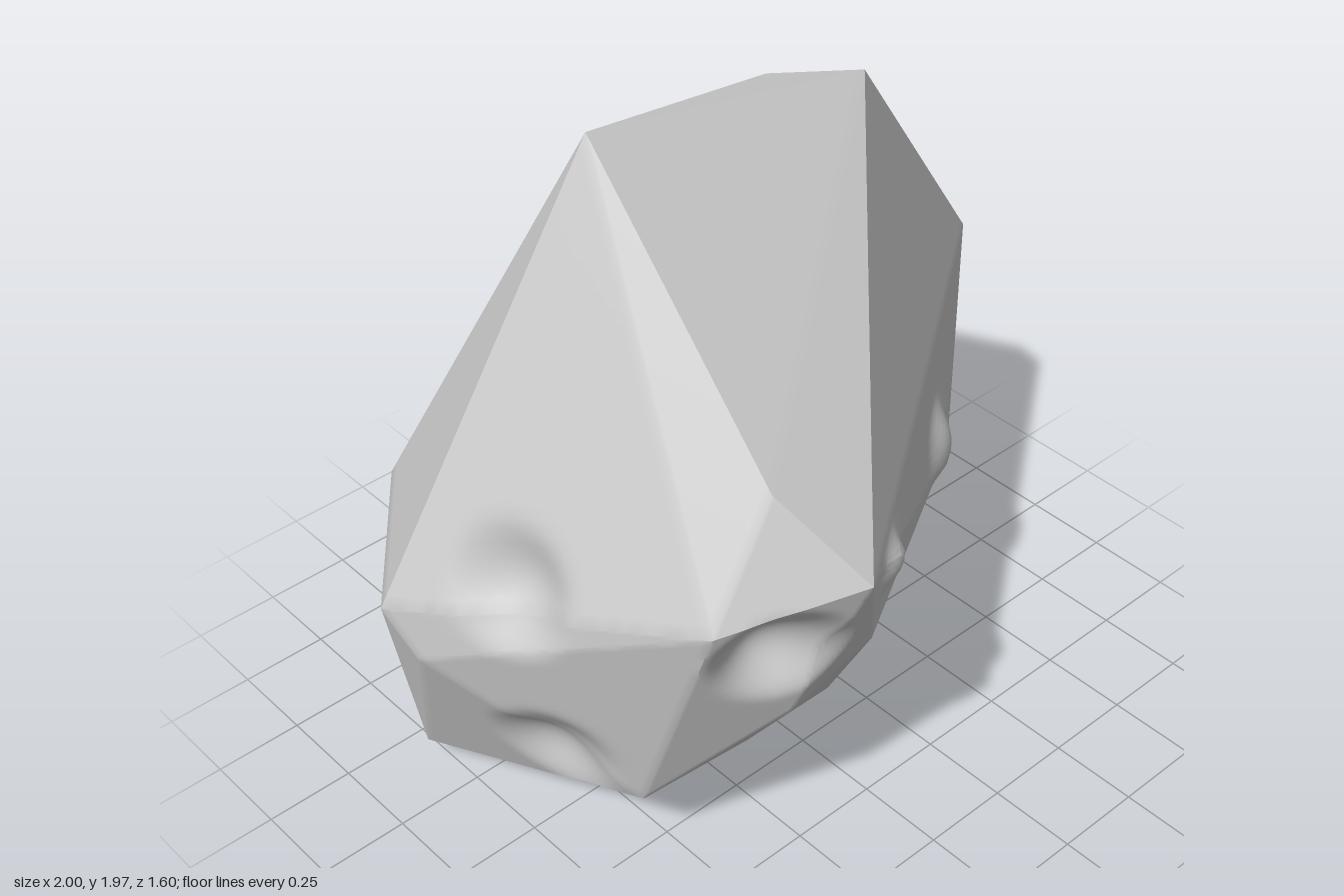
import * as THREE from 'three';
import { ConvexGeometry } from 'three/addons/geometries/ConvexGeometry.js';
import { toCreasedNormals } from 'three/addons/utils/BufferGeometryUtils.js';

const material = new THREE.MeshStandardMaterial({ color: 0xcccccc });

// Splits every triangle into four, giving the dents vertices to move
function subdivide(triangles) {
  return triangles.flatMap(([a, b, c]) => {
    const ab = a.clone().lerp(b, 0.5);
    const bc = b.clone().lerp(c, 0.5);
    const ca = c.clone().lerp(a, 0.5);
    return [[a, ab, ca], [ab, b, bc], [ca, bc, c], [ab, bc, ca]];
  });
}

// Chiselled stone: hull of its corners, with local dents and bumps
function stone(name, corners, dents, crease) {
  const hull = new ConvexGeometry(corners.map((p) => new THREE.Vector3(...p))).attributes.position;
  const corner = (i) => new THREE.Vector3().fromBufferAttribute(hull, i);
  let triangles = [];
  for (let i = 0; i < hull.count; i += 3) triangles.push([corner(i), corner(i + 1), corner(i + 2)]);
  for (let level = 0; level < 5; level++) triangles = subdivide(triangles);

  const spots = dents.map(([center, push, radius]) => ({
    center: new THREE.Vector3(...center), push: new THREE.Vector3(...push), radius,
  }));
  const points = triangles.flat().map((p) => {
    const moved = p.clone();
    for (const { center, push, radius } of spots) {
      const t = p.distanceTo(center) / radius;
      if (t < 1) moved.addScaledVector(push, (1 - t * t) ** 2);
    }
    return moved;
  });
  const geometry = new THREE.BufferGeometry().setFromPoints(points);
  const mesh = new THREE.Mesh(toCreasedNormals(geometry, crease), material);
  mesh.name = name;
  return mesh;
}

export function createModel() {
  const group = new THREE.Group();
  group.name = 'rock';

  // Crest, front corner, sides and back
  const upper = [
    [-0.42, 1.97, -0.06], [0.43, 1.83, -0.02], [0.2, 1.86, -0.13],
    [1, 1.07, -0.16], [0.78, 1.17, -0.56], [0.68, 1.33, -0.46],
    [-0.33, 1.12, 0.8], [-0.66, 1.04, 0.62], [-0.46, 1.34, 0.6],
    [-1, 0.79, -0.22], [-0.69, 0.83, -0.6], [0.24, 0.65, -0.8], [0.22, 0.57, -0.77],
  ];
  // Front bulge and underside
  const lower = [
    [-0.19, 0.79, 0.67], [0.45, 0.78, 0.3], [0.57, 0.74, 0.21],
    [-0.4, 0.64, 0.61], [-0.64, 0.29, 0.33], [-0.32, 0.31, 0.37],
    [0.04, 0.21, 0.3], [0.3, 0.09, -0.08], [0.68, 0.4, -0.2], [0.84, 0.74, -0.16],
    [0.47, 0.11, -0.29], [0.2, 0.02, -0.06], [-0.22, 0, -0.22],
    [-0.81, 0.09, -0.38], [-0.97, 0.67, -0.12],
  ];
  // Hollows and raised chips: centre, push, radius
  const dents = [
    [[-0.48, 0.9, 0.66], [0.02, 0, -0.1], 0.2],
    [[-0.84, 0.95, 0.1], [0.07, -0.02, -0.01], 0.2],
    [[-0.74, 0.4, 0.12], [0.06, 0, -0.04], 0.2],
    [[0.78, 1.34, -0.3], [-0.05, -0.02, 0.03], 0.16],
    [[-0.14, 1.01, 0.7], [0.02, 0.01, 0.03], 0.1],
    [[0.44, 0.86, 0.32], [0.02, 0.01, 0.03], 0.13],
    [[0.1, 1.07, -0.57], [0, 0.01, -0.02], 0.18],
  ];
  group.add(stone('rockBody', [...upper, ...lower], dents, 0.6));
  return group;
}
